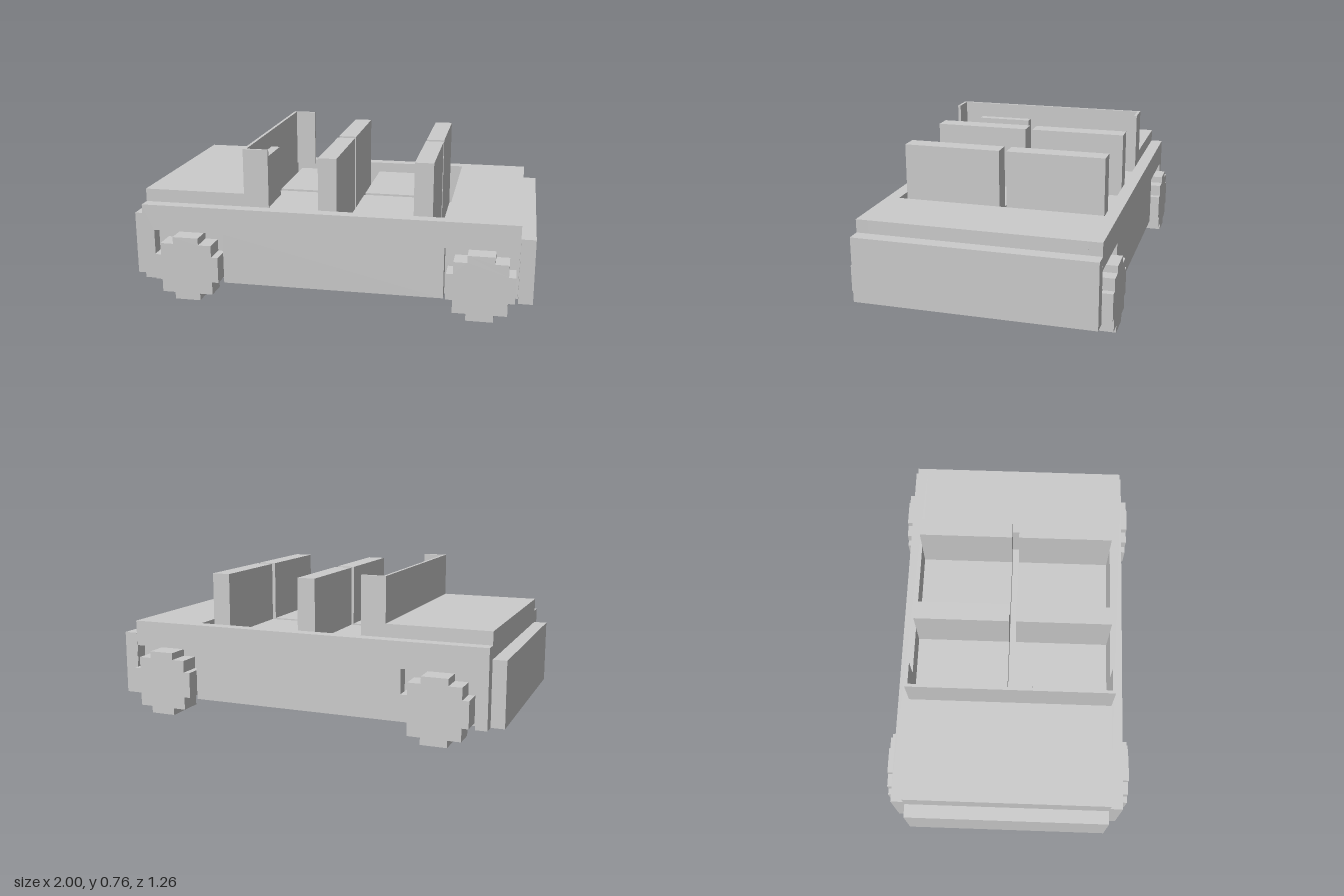
import * as THREE from 'three';

const grey = new THREE.MeshStandardMaterial({ color: 0xcccccc, flatShading: true });

// Extrude an x/y outline between two z positions
function slab(name, points, z0, z1) {
  const shape = new THREE.Shape(points.map(([x, y]) => new THREE.Vector2(x, y)));
  const geo = new THREE.ExtrudeGeometry(shape, { depth: z1 - z0, bevelEnabled: false });
  geo.translate(0, 0, z0);
  const mesh = new THREE.Mesh(geo, grey);
  mesh.name = name;
  return mesh;
}

// Box given by its limits on each axis
function block(name, x0, x1, y0, y1, z0, z1) {
  const mesh = new THREE.Mesh(new THREE.BoxGeometry(x1 - x0, y1 - y0, z1 - z0), grey);
  mesh.position.set((x0 + x1) / 2, (y0 + y1) / 2, (z0 + z1) / 2);
  mesh.name = name;
  return mesh;
}

// Stepped round outline of a blocky wheel
function wheelOutline(cx) {
  const right = [[0.065, 0], [0.065, 0.035], [0.13, 0.035], [0.13, 0.1], [0.163, 0.1],
    [0.163, 0.23], [0.13, 0.23], [0.13, 0.29], [0.065, 0.29], [0.065, 0.325]];
  const left = right.map(([x, y]) => [-x, y]).reverse();
  return [...right, ...left].map(([x, y]) => [cx + x, y]);
}

export function createModel() {
  const model = new THREE.Group();
  model.name = 'openBuggy';
  const bottom = 0.085, deck = 0.47, floor = 0.25, inner = 0.517, outer = 0.58;

  // Hull with raised hood, sunken cabin and rear deck
  model.add(slab('hull', [[-0.933, bottom], [0.931, bottom], [0.931, deck], [0.577, deck],
    [0.577, floor], [-0.405, floor], [-0.405, 0.535], [-0.933, 0.535]], -inner, inner));

  // Bumpers
  model.add(block('hoodBumper', -1, -0.933, bottom, 0.405, -inner, inner));
  model.add(block('tailBumper', 0.931, 1, bottom, 0.405, -outer, outer));

  // Side walls with square wheel arches
  const wall = [[-0.933, bottom], [-0.875, bottom], [-0.875, 0.34], [-0.518, 0.34], [-0.518, bottom],
    [0.577, bottom], [0.577, 0.34], [0.931, 0.34], [0.931, bottom], [0.931, deck], [-0.933, deck]];
  // Leave a thin post of wall behind the rear arch
  wall[7][0] = wall[8][0] = 0.928;

  for (const side of [-1, 1]) {
    const span = (a, b) => (side > 0 ? [a, b] : [-b, -a]);
    model.add(slab('sideWall', wall, ...span(inner, outer)));

    // Wheels
    for (const cx of [-0.695, 0.754]) {
      model.add(slab('wheel', wheelOutline(cx), ...span(inner, 0.628)));
    }

    // Windshield end wing
    model.add(block('windshieldWing', -0.42, -0.295, deck - 0.02, 0.76, ...span(0.502, inner)));

    // Two rows of seats, each an L of cushion and backrest
    for (const x of [-0.375, 0.094]) {
      model.add(slab('seat', [[x, floor], [x + 0.417, floor], [x + 0.417, 0.728],
        [x + 0.325, 0.728], [x + 0.325, 0.42], [x, 0.42]], ...span(0.018, 0.502)));
    }
  }

  // Windshield panel and steering panel
  model.add(block('windshield', -0.42, -0.405, deck, 0.76, -0.502, 0.502));
  model.add(block('steeringPanel', -0.39, -0.345, 0.4, 0.685, 0.11, 0.4));
  return model;
}
